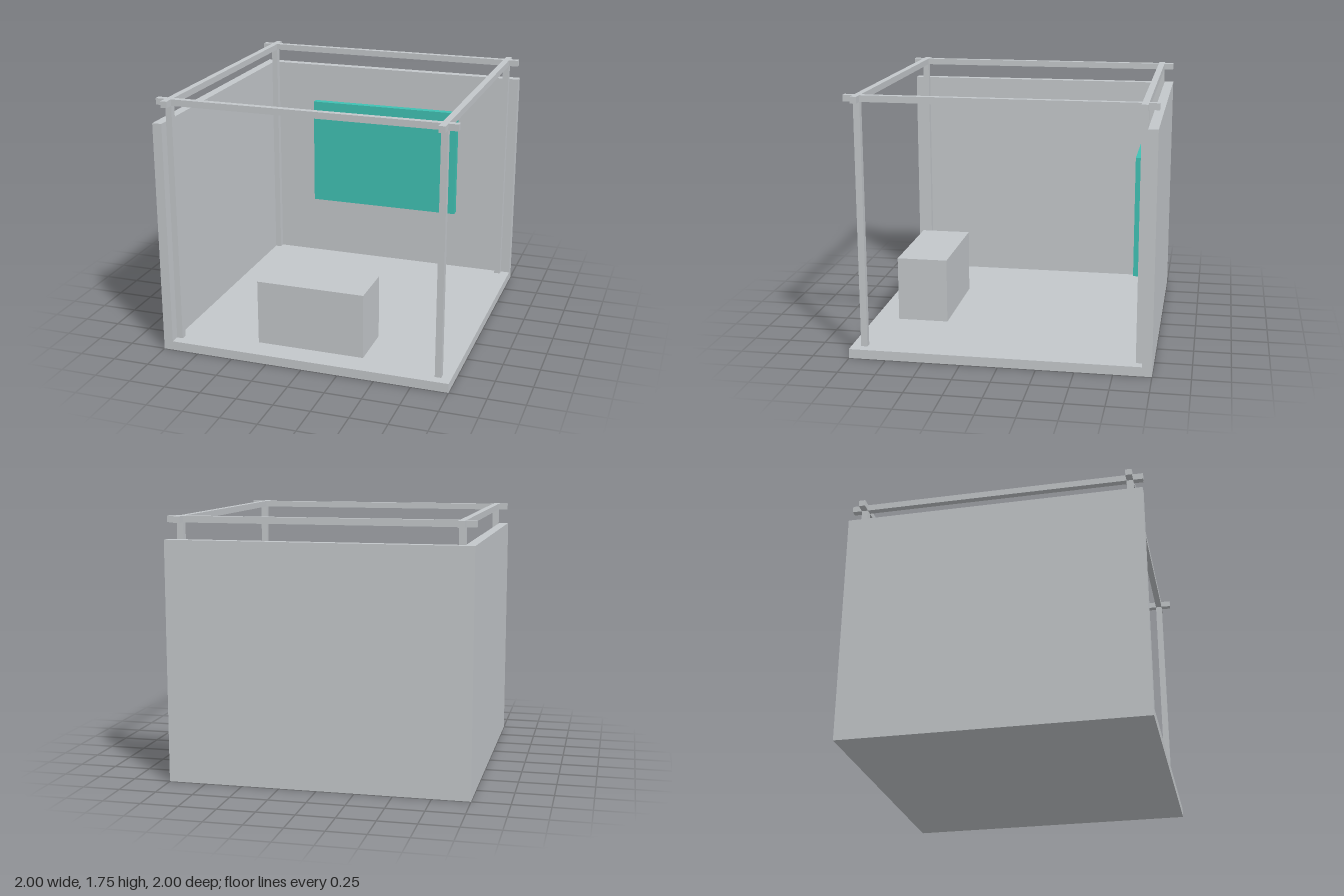
import * as THREE from 'three';

export function createModel() {
  const model = new THREE.Group();
  const grey = new THREE.MeshStandardMaterial({ color: 0xc3c7ca });
  grey.name = 'light grey';
  const teal = new THREE.MeshStandardMaterial({ color: 0x40c1b3 });
  teal.name = 'teal';

  // Adds a box spanning two opposite corners
  function addBox(name, material, [x0, y0, z0], [x1, y1, z1]) {
    const mesh = new THREE.Mesh(new THREE.BoxGeometry(x1 - x0, y1 - y0, z1 - z0), material);
    mesh.position.set((x0 + x1) / 2, (y0 + y1) / 2, (z0 + z1) / 2);
    mesh.name = name;
    model.add(mesh);
  }

  const floorTop = 0.063, wallTop = 1.6, inner = -0.935; // inner face of both walls
  const top = 1.75, bar = 0.043, offset = 0.913;         // frame height, bar width, bar centre
  const beamBase = top - bar, h = bar / 2;

  // Floor and the two closed sides
  addBox('floor', grey, [-1, 0, -1], [1, floorTop, 1]);
  addBox('backWall', grey, [-1, floorTop, -1], [1, wallTop, inner]);
  addBox('sideWall', grey, [-1, floorTop, inner], [inner, wallTop, 1]);

  // Open frame: four posts and crossing beams that overhang at the corners
  for (const s of [-1, 1]) {
    const c = s * offset;
    addBox('crossBeam', grey, [-1, beamBase, c - h], [1, top, c + h]);
    addBox('sideBeam', grey, [c - h, beamBase, -1], [c + h, top, 1]);
    for (const t of [-1, 1]) {
      const z = t * offset;
      addBox('post', grey, [c - h, floorTop, z - h], [c + h, beamBase, z + h]);
    }
  }

  // Counter at the front and display panel before the back wall
  addBox('counter', grey, [-0.373, floorTop, 0.476], [0.373, 0.511, 0.826]);
  addBox('displayPanel', teal, [-0.571, 0.53, -0.889], [0.571, 1.33, -0.836]);

  return model;
}
